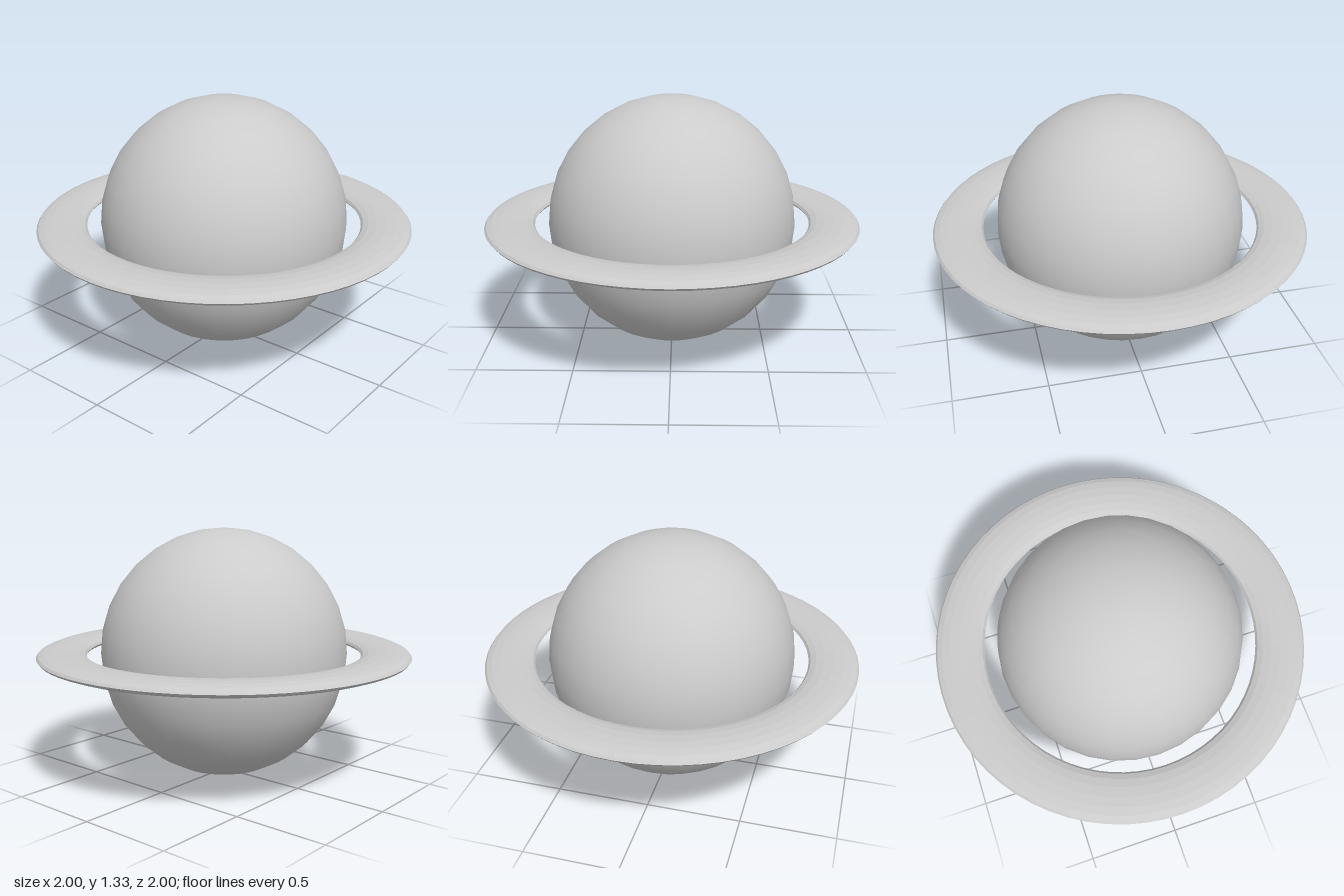
import * as THREE from 'three';

export function createModel() {
  const group = new THREE.Group();
  const centreY = 0.667;

  // Smooth globe, a touch narrower than it is tall
  const globe = new THREE.Mesh(
    new THREE.SphereGeometry(0.667, 32, 16),
    new THREE.MeshStandardMaterial({ color: 0xcccccc })
  );
  globe.name = 'planetGlobe';
  globe.scale.set(0.994, 1, 0.994);
  globe.position.y = centreY;
  group.add(globe);

  // Flattened torus lying level around the equator
  const ringGeometry = new THREE.TorusGeometry(0.868, 0.132, 16, 64);
  ringGeometry.rotateX(Math.PI / 2);
  ringGeometry.scale(1, 0.25, 1);
  const ring = new THREE.Mesh(
    ringGeometry,
    new THREE.MeshStandardMaterial({ color: 0xcccccc, flatShading: true })
  );
  ring.name = 'planetRing';
  ring.position.y = centreY;
  group.add(ring);

  return group;
}
